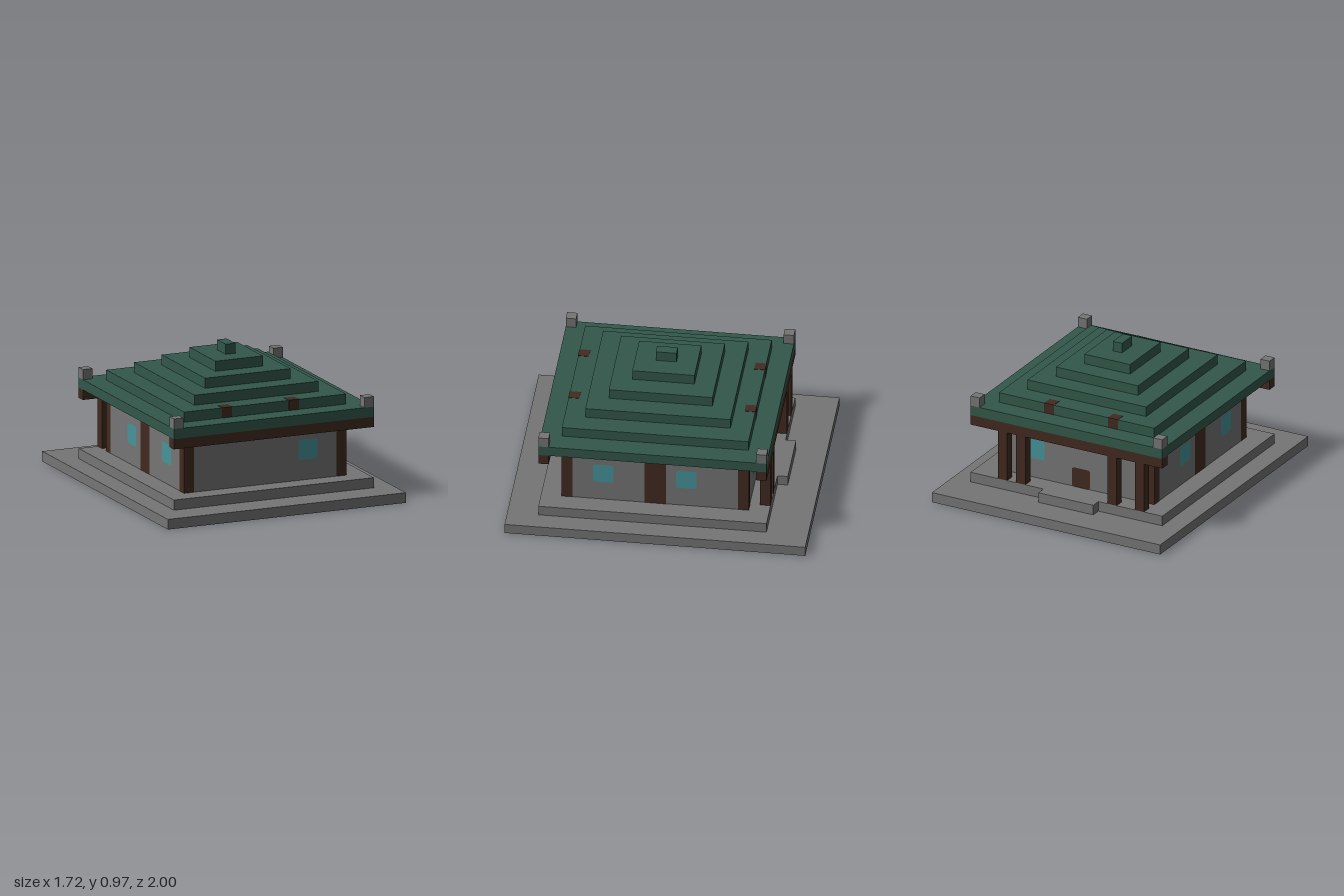
import * as THREE from 'three';

const U = 2 / 29; // one building block

const mat = (name, color) => {
  const m = new THREE.MeshStandardMaterial({ color });
  m.name = name;
  return m;
};

export function createModel() {
  const stone = mat('stone grey', 0x757575);
  const green = mat('roof green', 0x33584b);
  const brown = mat('dark timber', 0x422a20);
  const plum = mat('plum frieze', 0x734352);
  const teal = mat('window teal', 0x46949b);

  const model = new THREE.Group();
  model.name = 'pavilion';

  // Box between block coordinates (x 0..25, y 0..14, z 0..29), grown by e
  function block(name, m, [x0, x1], [y0, y1], [z0, z1], e = 0) {
    const g = new THREE.BoxGeometry((x1 - x0) * U + 2 * e, (y1 - y0) * U, (z1 - z0) * U + 2 * e);
    const mesh = new THREE.Mesh(g, m);
    mesh.name = name;
    mesh.position.set(((x0 + x1) / 2 - 12.5) * U, ((y0 + y1) / 2) * U, ((z0 + z1) / 2 - 14.5) * U);
    model.add(mesh);
  }

  // Thin two-block panel with rounded corners, facing the angle ry
  const a = U, r = 0.02;
  const panelShape = new THREE.Shape();
  panelShape.moveTo(-a + r, -a).lineTo(a - r, -a).quadraticCurveTo(a, -a, a, -a + r)
    .lineTo(a, a - r).quadraticCurveTo(a, a, a - r, a)
    .lineTo(-a + r, a).quadraticCurveTo(-a, a, -a, a - r)
    .lineTo(-a, -a + r).quadraticCurveTo(-a, -a, -a + r, -a);
  const panelGeo = new THREE.ShapeGeometry(panelShape, 4);
  function panel(name, m, x, y, z, ry) {
    const mesh = new THREE.Mesh(panelGeo, m);
    mesh.name = name;
    mesh.position.set((x - 12.5) * U, y * U, (z - 14.5) * U);
    mesh.rotation.y = ry;
    mesh.translateZ(0.003);
    model.add(mesh);
  }

  // Stepped base and entrance step
  block('base', stone, [0, 25], [0, 1], [0, 29]);
  block('plinth', stone, [2, 23], [1, 2], [4, 26]);
  block('entranceStep', stone, [9, 15], [1, 2], [3, 4]);

  // Walls and frieze
  block('walls', stone, [4, 21], [2, 7], [6, 24]);
  block('frieze', plum, [4, 21], [7, 8], [6, 24]);

  // Timber posts in the walls
  for (const x of [4, 20]) {
    for (const z of [6, 23]) block('cornerPost', brown, [x, x + 1], [2, 7], [z, z + 1], 0.002);
    block('sidePost', brown, [x, x + 1], [2, 7], [14, 16], 0.002);
  }

  // Porch columns along the back
  for (const x of [4, 7, 17, 19]) block('porchColumn', brown, [x, x + 1], [2, 7], [4, 5]);

  // Eave beams
  block('frontBeam', brown, [2, 23], [7, 8], [25, 26]);
  block('backBeam', brown, [2, 23], [7, 8], [4, 5]);

  // Windows and door
  panel('frontWindow', teal, 17, 5, 24, 0);
  panel('backWindow', teal, 17, 5, 6, Math.PI);
  for (const z of [12, 20]) {
    panel('leftWindow', teal, 21, 5, z, Math.PI / 2);
    panel('rightWindow', teal, 4, 5, z, -Math.PI / 2);
  }
  panel('door', brown, 12, 3, 6, Math.PI);

  // Stepped roof
  for (let i = 0; i < 6; i++) {
    const d = 2 * i;
    block('roofTier', green, [2 + d, 23 - d], [8 + i, 9 + i], [4 + d, 26 - d]);
  }

  // Stone finials on the roof corners
  for (const x of [2, 22]) for (const z of [4, 25]) block('finial', stone, [x, x + 1], [9, 10], [z, z + 1]);

  // Rafter ends in the second tier
  for (const x of [8, 15]) for (const z of [6, 23]) block('rafterEnd', brown, [x, x + 1], [9, 10.03], [z, z + 1], 0.002);

  return model;
}
